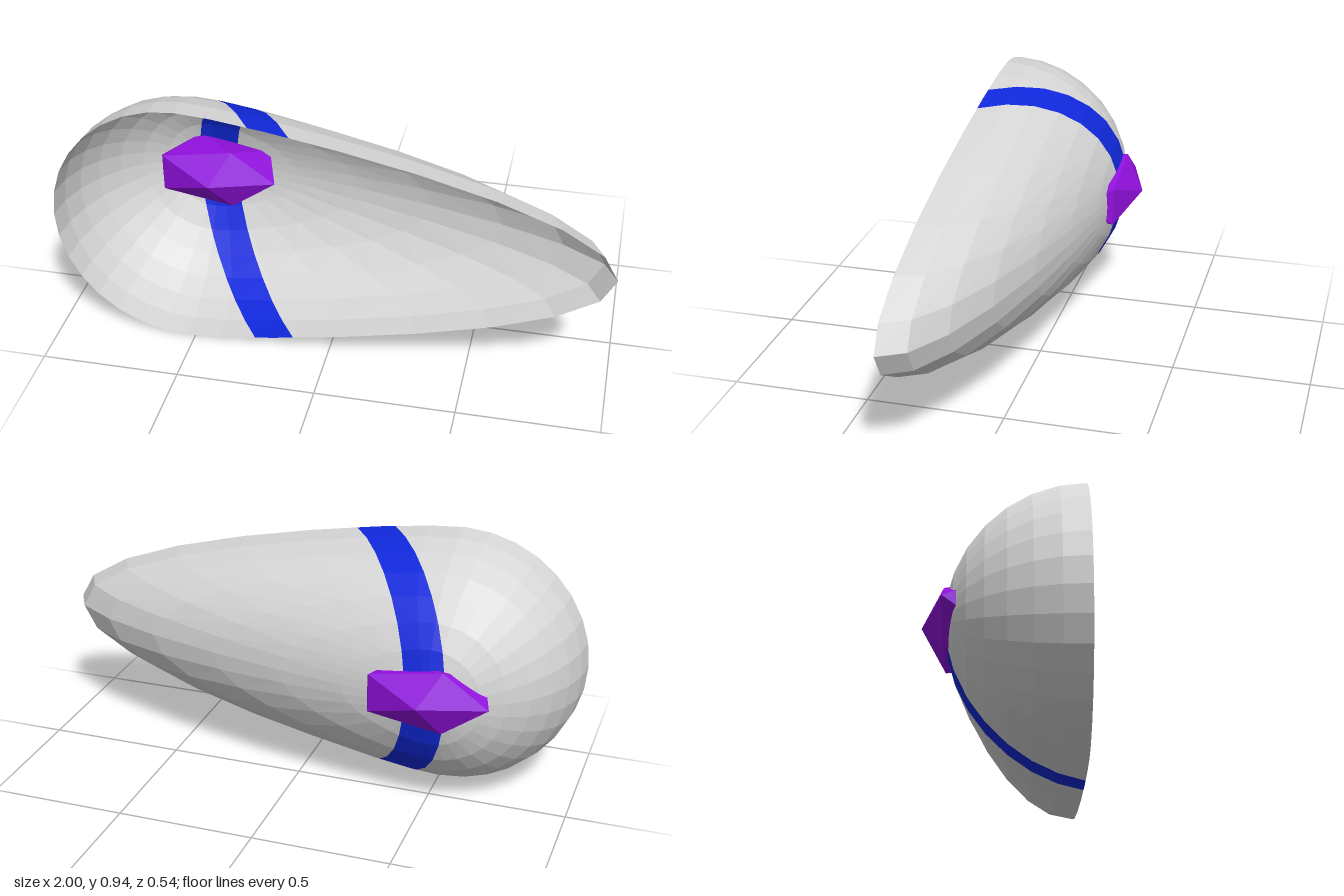
import * as THREE from 'three';
import { ConvexGeometry } from 'three/addons/geometries/ConvexGeometry.js';

const R = 0.47;          // shell radius, also its mid height
const CX = -0.53;        // x of the round end's centre
const SLOPE = 0.685;     // lean of the stripe
const BAND = [-0.457, -0.314];

const slant = (p) => p.x - SLOPE * p.z;

// Keep the part of a polygon where sign * (slant - limit) >= 0
function clip(poly, limit, sign) {
  const out = [];
  poly.forEach((a, i) => {
    const b = poly[(i + 1) % poly.length];
    const da = sign * (slant(a) - limit), db = sign * (slant(b) - limit);
    if (da >= 0) out.push(a);
    if (da * db < 0) out.push(a.clone().lerp(b, da / (da - db)));
  });
  return out;
}

function fromPolygons(polys) {
  const pts = [];
  for (const p of polys)
    for (let i = 1; i < p.length - 1; i++) pts.push(p[0], p[i], p[i + 1]);
  const geo = new THREE.BufferGeometry().setFromPoints(pts);
  geo.computeVertexNormals();
  return geo;
}

// Half sphere open to the front, drawn out into a teardrop towards +x
function shellTriangles() {
  const geo = new THREE.SphereGeometry(R, 32, 8, 0, Math.PI * 2, 0, Math.PI / 2)
    .rotateX(-Math.PI / 2).toNonIndexed();
  const pos = geo.attributes.position, tris = [];
  for (let i = 0; i < pos.count; i++) {
    const p = new THREE.Vector3().fromBufferAttribute(pos, i);
    const c = Math.max(0, p.x / R);
    p.x += CX + 1.06 * Math.pow(c, 2.1);
    p.y += R;
    p.z += 0.27;
    if (i % 3 === 0) tris.push([]);
    tris[tris.length - 1].push(p);
  }
  return tris;
}

// Stretched icosahedron with its tips on the z axis
function gemGeometry() {
  const pts = [new THREE.Vector3(0, 0, 1), new THREE.Vector3(0, 0, -1)];
  for (let i = 0; i < 5; i++) {
    const a = (i * Math.PI * 2) / 5, x = 0.894 * Math.cos(a), y = 0.894 * Math.sin(a);
    pts.push(new THREE.Vector3(x, y, 0.447), new THREE.Vector3(-x, y, -0.447));
  }
  pts.forEach((p) => p.multiply(new THREE.Vector3(0.263, 0.135, 0.135)));
  return new ConvexGeometry(pts);
}

export function createModel() {
  const shellGrey = new THREE.MeshStandardMaterial({ color: 0xd6d6d6, side: THREE.DoubleSide });
  const stripeBlue = new THREE.MeshStandardMaterial({ color: 0x1028dc, side: THREE.DoubleSide });
  const gemPurple = new THREE.MeshStandardMaterial({ color: 0x9010dc });

  const model = new THREE.Group();
  const add = (name, geo, mat) => {
    const mesh = new THREE.Mesh(geo, mat);
    mesh.name = name;
    model.add(mesh);
    return mesh;
  };

  // Shell, divided by the slanted stripe
  const tris = shellTriangles();
  const [lo, hi] = BAND;
  add('shellRoundEnd', fromPolygons(tris.map((t) => clip(t, lo, -1))), shellGrey);
  add('stripe', fromPolygons(tris.map((t) => clip(clip(t, lo, 1), hi, -1))), stripeBlue);
  add('shellPointedEnd', fromPolygons(tris.map((t) => clip(t, hi, 1))), shellGrey);

  // Gem set through the deepest point of the shell
  add('gem', gemGeometry(), gemPurple).position.set(-0.51, 0.472, -0.139);

  return model;
}
